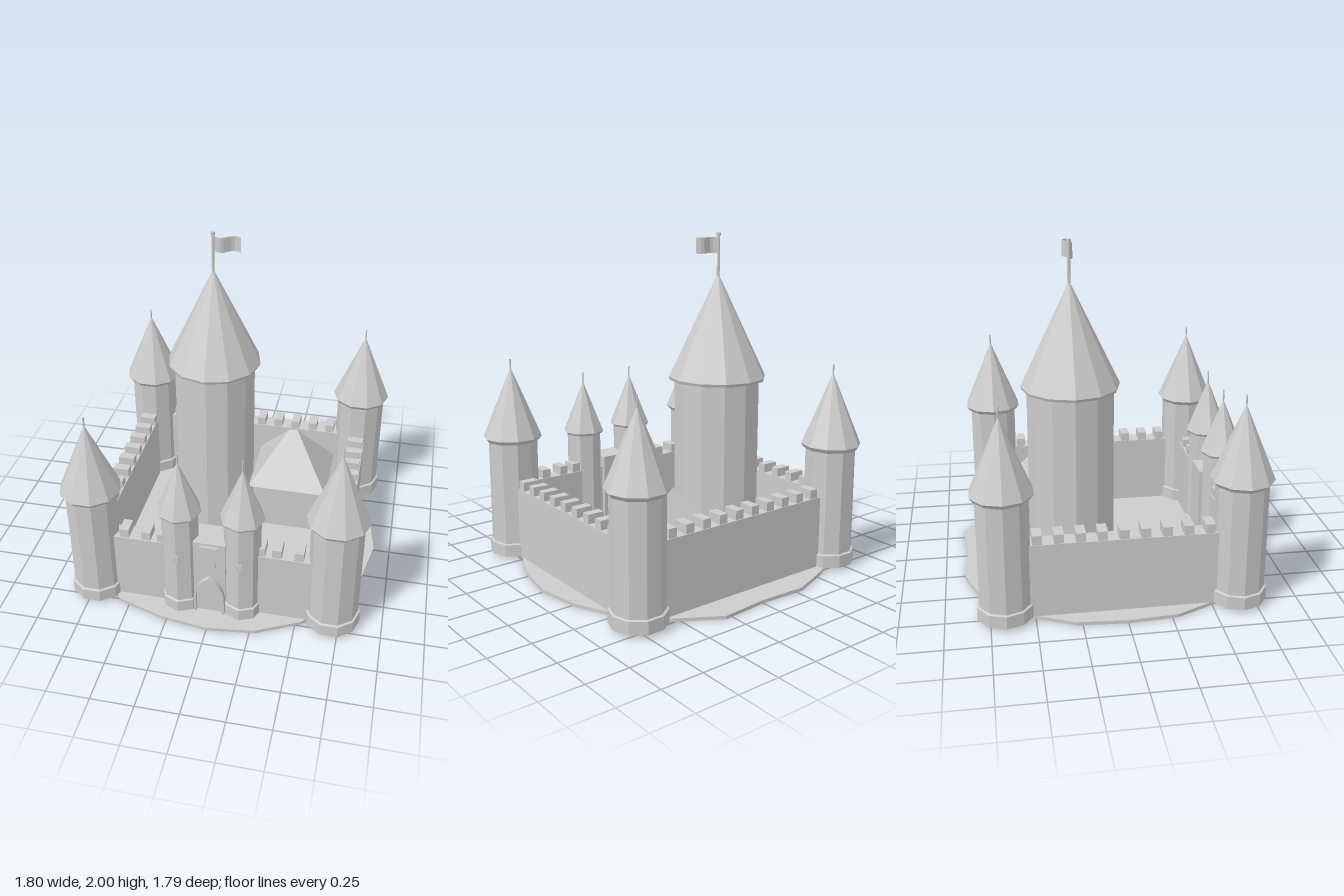
import * as THREE from 'three';

export function createModel() {
  const castle = new THREE.Group();
  castle.name = 'castle';
  const stone = new THREE.MeshStandardMaterial({ color: 0xcccccc, flatShading: true });
  stone.name = 'paleStone';

  const add = (name, geometry, parent = castle) => {
    const mesh = new THREE.Mesh(geometry, stone);
    mesh.name = name;
    parent.add(mesh);
    return mesh;
  };
  // Box given by its limits on each axis
  const box = (name, x0, x1, y0, y1, z0, z1, parent) =>
    add(name, new THREE.BoxGeometry(x1 - x0, y1 - y0, z1 - z0), parent)
      .position.set((x0 + x1) / 2, (y0 + y1) / 2, (z0 + z1) / 2);
  const lathe = (points, sides, start) =>
    new THREE.LatheGeometry(points.map(p => new THREE.Vector2(...p)), sides, start);
  const extrude = (shape, depth) =>
    new THREE.ExtrudeGeometry(shape, { depth, bevelEnabled: false, curveSegments: 6 });

  // Irregular round ground plate
  const radii = [0.9, 0.895, 0.91, 0.92, 0.94, 0.87, 0.93, 0.965, 0.93, 0.915,
    0.89, 0.915, 0.93, 0.95, 0.9, 0.895, 0.905, 0.91, 0.91, 0.895];
  const outline = radii.map((r, i) => new THREE.Vector2(
    r * Math.cos(i * Math.PI / 10), r * Math.sin(i * Math.PI / 10)));
  add('ground', extrude(new THREE.Shape(outline), 0.02).rotateX(-Math.PI / 2));

  // Tower: shaft with plinth, pointed roof and spike
  function tower(name, x, z, o) {
    const g = new THREE.Group();
    g.name = name;
    g.position.set(x, 0, z);
    castle.add(g);
    const shaft = [[o.r, 0.1], [o.r, o.eave + 0.01]];
    if (o.plinth) shaft.unshift([o.plinth, 0.02], [o.plinth, 0.095]);
    else shaft[0][1] = 0.02;
    add('shaft', lathe(shaft, o.sides, o.start), g);
    add('roof', lathe([[0, o.eave], [o.lip, o.eave], [o.roof, o.eave + o.lipHeight], [0, o.apex]],
      o.sides, o.start), g);
    const h = o.top - o.apex + 0.04;
    add('spike', new THREE.CylinderGeometry(o.pole, o.pole, h, 6), g).position.y = o.top - h / 2;
    return g;
  }

  // Corner towers
  const corner = { sides: 10, start: Math.PI / 2, r: 0.15, plinth: 0.163, eave: 0.732, lip: 0.16,
    roof: 0.179, lipHeight: 0.025, apex: 1.185, top: 1.237, pole: 0.005 };
  for (const x of [-0.722, 0.705])
    for (const z of [-0.665, 0.657]) tower('cornerTower', x, z, corner);

  // Gate towers with arrow slits
  const gateTower = { sides: 8, start: 0, r: 0.109, plinth: 0.119, eave: 0.69, lip: 0.12,
    roof: 0.13, lipHeight: 0.015, apex: 1.03, top: 1.088, pole: 0.005 };
  for (const x of [-0.193, 0.173]) {
    const g = tower('gateTower', x, 0.68, gateTower);
    box('arrowSlit', -0.016, 0.016, 0.39, 0.445, 0.1, 0.112, g);
  }

  // Keep with flag
  const keep = tower('keep', -0.19, -0.232, { sides: 12, start: 0, r: 0.254, eave: 1.148,
    lip: 0.282, roof: 0.289, lipHeight: 0.017, apex: 1.77, top: 1.99, pole: 0.009 });
  add('poleKnob', new THREE.CylinderGeometry(0.014, 0.014, 0.018, 8), keep).position.y = 1.991;
  const flag = new THREE.BoxGeometry(0.155, 0.09, 0.006, 8, 1, 1);
  const p = flag.attributes.position;
  for (let i = 0; i < p.count; i++)
    p.setZ(i, p.getZ(i) + 0.023 * Math.sin((p.getX(i) / 0.155 + 0.5) * Math.PI * 2));
  add('flag', flag, keep).position.set(0.087, 1.93, 0);

  // Curtain walls
  const wallTop = 0.456, merlonTop = 0.51;
  box('backWall', -0.68, 0.66, 0.02, wallTop, -0.72, -0.612);
  box('frontWall', -0.68, 0.66, 0.02, wallTop, 0.6, 0.71);
  box('rightWall', -0.778, -0.67, 0.02, wallTop, -0.6, 0.6);
  box('leftWall', 0.65, 0.757, 0.02, wallTop, -0.6, 0.6);

  // Battlements
  const merlon = (x, z, w, d) =>
    box('merlon', x - w / 2, x + w / 2, wallTop, merlonTop, z - d / 2, z + d / 2);
  for (let i = 0; i < 10; i++) merlon(-0.54 + i * 0.1172, -0.666, 0.054, 0.096);
  for (let i = 0; i < 9; i++)
    for (const x of [-0.724, 0.703]) merlon(x, -0.485 + i * 0.12, 0.054 * 1.85, 0.054);
  for (const x of [-0.525, -0.395, -0.3, 0.28, 0.375, 0.502]) merlon(x, 0.655, 0.054, 0.096);

  // Gatehouse
  const gate = new THREE.Group();
  gate.name = 'gatehouse';
  gate.position.x = -0.009;
  castle.add(gate);
  box('gateBlock', -0.094, 0.094, 0.02, 0.527, 0.575, 0.745, gate);

  // Pointed arch surround
  const arch = (path, w, spring, apex) => {
    path.moveTo(-w, 0.02);
    path.lineTo(w, 0.02);
    path.lineTo(w, spring);
    path.quadraticCurveTo(w * 0.85, apex - 0.045, 0, apex);
    path.quadraticCurveTo(-w * 0.85, apex - 0.045, -w, spring);
    path.closePath();
    return path;
  };
  const surround = arch(new THREE.Shape(), 0.09, 0.15, 0.287);
  surround.holes.push(arch(new THREE.Path(), 0.077, 0.145, 0.266));
  add('gateArch', extrude(surround, 0.03), gate).position.z = 0.744;
  add('gateDoor', extrude(arch(new THREE.Shape(), 0.077, 0.145, 0.266), 0.006), gate).position.z = 0.744;

  // Hanging banner
  const banner = new THREE.Shape([[-0.036, 0.5], [-0.036, 0.35], [0, 0.312], [0.036, 0.35], [0.036, 0.5]]
    .map(q => new THREE.Vector2(...q)));
  add('banner', extrude(banner, 0.008), gate).position.z = 0.744;
  box('bannerRod', -0.054, 0.054, 0.497, 0.513, 0.744, 0.762, gate);

  // Hall with hipped roof: the top ring of a box is drawn in to a short ridge
  box('hallWalls', 0.085, 0.535, 0.02, 0.335, -0.515, -0.1);
  const roof = new THREE.BoxGeometry(0.5, 0.322, 0.464);
  const q = roof.attributes.position;
  for (let i = 0; i < q.count; i++)
    if (q.getY(i) > 0) q.setXYZ(i, q.getX(i) * 0.11, q.getY(i), 0);
  add('hallRoof', roof).position.set(0.309, 0.491, -0.309);

  return castle;
}
